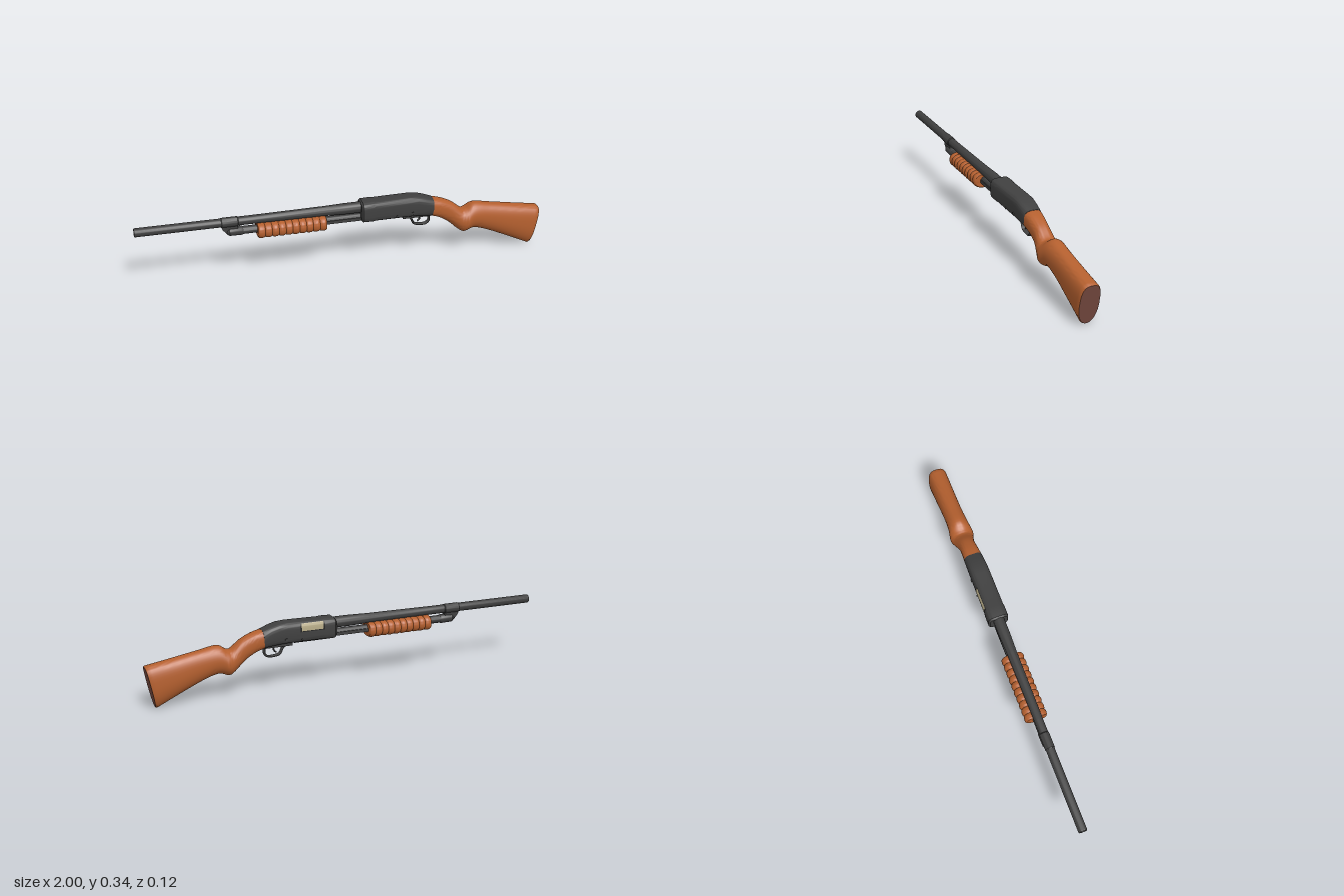
import * as THREE from 'three';
import { toCreasedNormals } from 'three/addons/utils/BufferGeometryUtils.js';

const mat = (name, color) => {
  const m = new THREE.MeshStandardMaterial({ color });
  m.name = name;
  return m;
};

// Point of a section [topX, topY, bottomX, bottomY, halfWidth, topPower, bottomPower] at angle a
function sectionPoint([tx, ty, bx, by, w, nt, nb], a) {
  const s = Math.sin(a), c = Math.cos(a), n = s > 0 ? nt : nb;
  const u = Math.sign(s) * Math.abs(s) ** (2 / n);
  const v = Math.sign(c) * Math.abs(c) ** (2 / n);
  const k = (u + 1) / 2;
  return [bx + (tx - bx) * k, by + (ty - by) * k, w * v];
}

// Smoothly interpolate rows of section numbers, sub steps per row
function refine(rows, sub) {
  const curves = rows[0].map((_, c) =>
    new THREE.SplineCurve(rows.map((r, i) => new THREE.Vector2(i, r[c]))));
  const count = (rows.length - 1) * sub;
  return Array.from({ length: count + 1 }, (_, i) => curves.map((c) => c.getPoint(i / count).y));
}

// Skin over sections running along +x, with optional flat ends
function loft(rows, { from = 0, to = Math.PI * 2, n = 40, side = true, start = false, end = false, crease = 0.6 } = {}) {
  const pos = [];
  const rings = rows.map((r) => Array.from({ length: n + 1 }, (_, j) => sectionPoint(r, from + (to - from) * j / n)));
  const tri = (...p) => p.forEach((q) => pos.push(...q));
  const cap = (r, ring, flip) => {
    const mid = [(r[0] + r[2]) / 2, (r[1] + r[3]) / 2, 0];
    for (let j = 0; j < n; j++) flip ? tri(mid, ring[j + 1], ring[j]) : tri(mid, ring[j], ring[j + 1]);
  };
  if (side) for (let i = 0; i < rings.length - 1; i++) {
    for (let j = 0; j < n; j++) {
      const a = rings[i][j], b = rings[i + 1][j], c = rings[i + 1][j + 1], d = rings[i][j + 1];
      tri(a, b, c);
      tri(a, c, d);
    }
  }
  if (start) cap(rows[0], rings[0], false);
  if (end) cap(rows.at(-1), rings.at(-1), true);
  const g = new THREE.BufferGeometry();
  g.setAttribute('position', new THREE.Float32BufferAttribute(pos, 3));
  return toCreasedNormals(g, crease);
}

// Turned part along x from [radius, x] pairs
function turned(points, y) {
  const g = new THREE.LatheGeometry(points.map(([r, x]) => new THREE.Vector2(r, x)), 28);
  return toCreasedNormals(g.rotateZ(-Math.PI / 2).translate(0, y, 0), 0.6);
}

export function createModel() {
  const group = new THREE.Group();
  const metal = mat('dark metal', 0x404040);
  const black = mat('black recess', 0x242424);
  const wood = mat('brown wood', 0xb5602f);
  const rubber = mat('butt pad brown', 0x75493f);
  const brass = mat('pale bolt metal', 0xb8ac88);
  const add = (name, geometry, material) => {
    const m = new THREE.Mesh(geometry, material);
    m.name = name;
    group.add(m);
    return m;
  };
  const box = (name, w, h, d, x, y, z, m) => add(name, new THREE.BoxGeometry(w, h, d).translate(x, y, z), m);
  const path = (pts) => new THREE.CatmullRomCurve3(pts.map(([x, y]) => new THREE.Vector3(x, y, 0)));

  // Barrel with open muzzle, thickening towards the receiver
  add('barrel', turned([[0.014, -0.94], [0.014, -1], [0.019, -1], [0.021, -0.997],
    [0.021, -0.45], [0.024, -0.1], [0.027, 0.0], [0.027, 0.1]], 0.306), metal);
  add('boreEnd', new THREE.CircleGeometry(0.015, 24).rotateY(-Math.PI / 2).translate(-0.945, 0.306, 0), black);

  // Magazine tube, its cap and the band that holds it to the barrel
  add('magazineTube', turned([[0.019, -0.54], [0.019, 0.1]], 0.256), metal);
  add('magazineCap', turned([[0, -0.572], [0.012, -0.572], [0.021, -0.56], [0.022, -0.5],
    [0.019, -0.495]], 0.256), metal);
  add('barrelBand', turned([[0.02, -0.6], [0.0235, -0.595], [0.0235, -0.52], [0.02, -0.515]], 0.306), metal);
  const lug = new THREE.Shape([[-0.6, 0.292], [-0.59, 0.27], [-0.565, 0.243], [-0.52, 0.24], [-0.52, 0.295]]
    .map(([x, y]) => new THREE.Vector2(x, y)));
  add('bandLug', new THREE.ExtrudeGeometry(lug, { depth: 0.024, bevelEnabled: false }).translate(0, 0, -0.012), metal);
  for (const s of [1, -1]) box('actionBar', 0.22, 0.016, 0.005, 0, 0.252, s * 0.021, metal);

  // Sliding fore-end with rounded ribs
  const ribs = 10, perRib = 8, foreEnd = [];
  for (let i = 0; i <= ribs * perRib; i++) {
    const x = -0.428 + 0.33 * i / (ribs * perRib);
    const f = 0.88 + 0.12 * Math.sqrt(Math.abs(Math.sin(Math.PI * i / perRib)));
    foreEnd.push([x, 0.253 + 0.037 * f, x, 0.253 - 0.039 * f, 0.055 * f, 2.6, 2.4]);
  }
  add('foreEnd', loft(foreEnd, { start: true, end: true, crease: 0.8 }), wood);

  // Receiver with rounded top and tapering tail
  add('receiver', loft([
    [0.075, 0.331, 0.075, 0.245, 0.044, 4, 5],
    [0.083, 0.338, 0.083, 0.238, 0.05, 4, 5],
    [0.135, 0.34, 0.135, 0.237, 0.05, 4, 5],
    [0.145, 0.338, 0.145, 0.239, 0.048, 4, 5],
    [0.32, 0.341, 0.32, 0.239, 0.047, 4, 5],
    [0.36, 0.338, 0.36, 0.236, 0.047, 4, 4],
    [0.4, 0.328, 0.4, 0.231, 0.046, 3.5, 3.5],
    [0.44, 0.314, 0.435, 0.224, 0.045, 3, 2.6],
  ], { n: 48, start: true, end: true }), metal);

  // Ejection port on the right shoulder
  const port = (name, x0, x1, grow, a0, a1, m) => add(name, loft([x0, x1].map((x) =>
    [x, 0.34 + grow, x, 0.239, 0.048 + grow, 4, 5]), { from: Math.PI - a1, to: Math.PI - a0, n: 12 }), m);
  port('ejectionPortEdge', 0.138, 0.262, 0.0015, 0.001, 0.78, black);
  port('bolt', 0.145, 0.255, 0.003, 0.01, 0.7, brass);

  // Loading port and carrier underneath
  box('loadingPort', 0.15, 0.005, 0.052, 0.21, 0.2385, 0, black);
  box('carrier', 0.11, 0.005, 0.03, 0.225, 0.2375, 0, metal);

  // Trigger group
  box('triggerPlate', 0.14, 0.02, 0.036, 0.36, 0.232, 0, metal);
  const guard = path([[0.315, 0.234], [0.335, 0.212], [0.35, 0.185], [0.375, 0.178], [0.41, 0.179],
    [0.426, 0.195], [0.424, 0.228]]);
  add('triggerGuard', new THREE.TubeGeometry(guard, 36, 0.0055, 8).scale(1, 1, 2.2), metal);
  const trigger = path([[0.372, 0.23], [0.38, 0.212], [0.376, 0.202], [0.368, 0.194]]);
  add('trigger', new THREE.TubeGeometry(trigger, 14, 0.004, 8).scale(1, 1, 1.5), metal);
  for (const [x, y, r] of [[0.33, 0.262, 0.007], [0.25, 0.255, 0.005]]) {
    add('crossPin', new THREE.CylinderGeometry(r, r, 0.1, 14).rotateX(Math.PI / 2).translate(x, y, 0), metal);
  }

  // Stock: curved wrist, swollen grip and deep butt
  const stock = refine([
    [0.438, 0.313, 0.433, 0.223, 0.045, 3, 2.6],
    [0.485, 0.302, 0.475, 0.207, 0.042, 2.8, 2.4],
    [0.54, 0.278, 0.525, 0.175, 0.041, 2.5, 2.2],
    [0.59, 0.24, 0.575, 0.13, 0.052, 2.2, 2.1],
    [0.615, 0.243, 0.605, 0.115, 0.06, 2, 2.1],
    [0.655, 0.264, 0.655, 0.128, 0.053, 2, 2.1],
    [0.74, 0.25, 0.73, 0.105, 0.048, 2.3, 2.1],
    [0.87, 0.227, 0.85, 0.051, 0.049, 2.6, 2.1],
    [0.992, 0.206, 0.95, 0.003, 0.05, 3, 2.1],
  ], 5);
  const last = stock.at(-1);
  const rim = [last[0] + 0.005, last[1] - 0.004, last[2] + 0.007, last[3] + 0.003, 0.047, last[5], last[6]];
  add('stock', loft([...stock, rim], { start: true }), wood);
  add('buttPad', loft([rim], { side: false, end: true }), rubber);

  return group;
}
